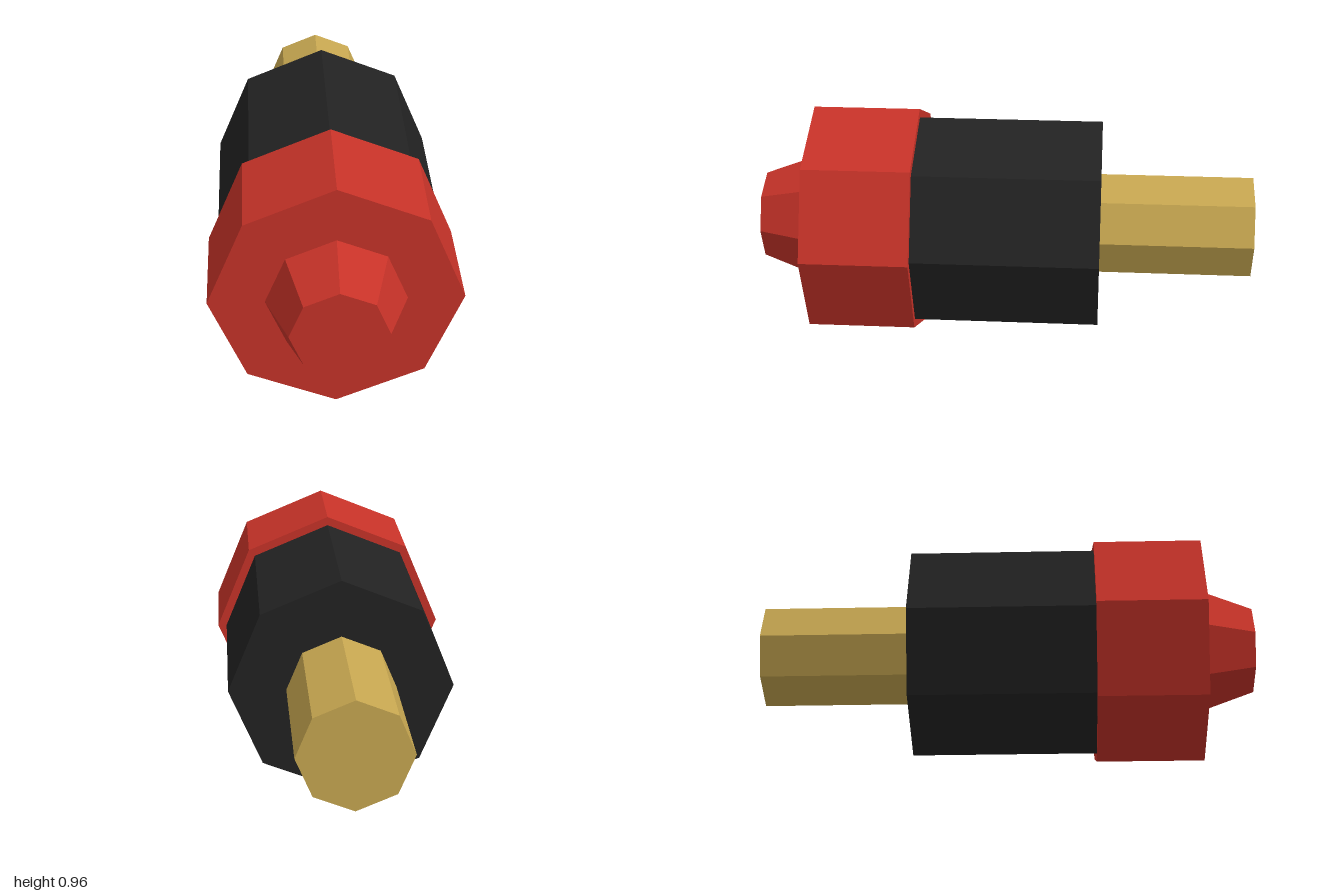
import * as THREE from 'three';

const CENTER_Y = 0.48;
const SIDES = 8;

function flat(name, color) {
  const material = new THREE.MeshStandardMaterial({ color, flatShading: true });
  material.name = name;
  return material;
}

// Octagonal section along z, from zBack to zFront
function section(name, material, zBack, zFront, backRadius, frontRadius = backRadius) {
  const geometry = new THREE.CylinderGeometry(frontRadius, backRadius, zFront - zBack, SIDES);
  geometry.rotateX(Math.PI / 2);
  const mesh = new THREE.Mesh(geometry, material);
  mesh.name = name;
  mesh.position.set(0, CENTER_Y, (zBack + zFront) / 2);
  return mesh;
}

export function createModel() {
  const red = flat('red', 0xc63228);
  const black = flat('black', 0x222222);
  const brass = flat('brass', 0xc6a650);

  const model = new THREE.Group();
  model.name = 'plug';
  model.add(
    section('tip', red, 0.785, 1, 0.265, 0.184),   // tapered nose
    section('collar', red, 0.355, 0.785, 0.479),   // wide front ring
    section('body', black, -0.385, 0.355, 0.443),  // main barrel
    section('pin', brass, -1, -0.385, 0.216)       // rear shaft
  );
  return model;
}
